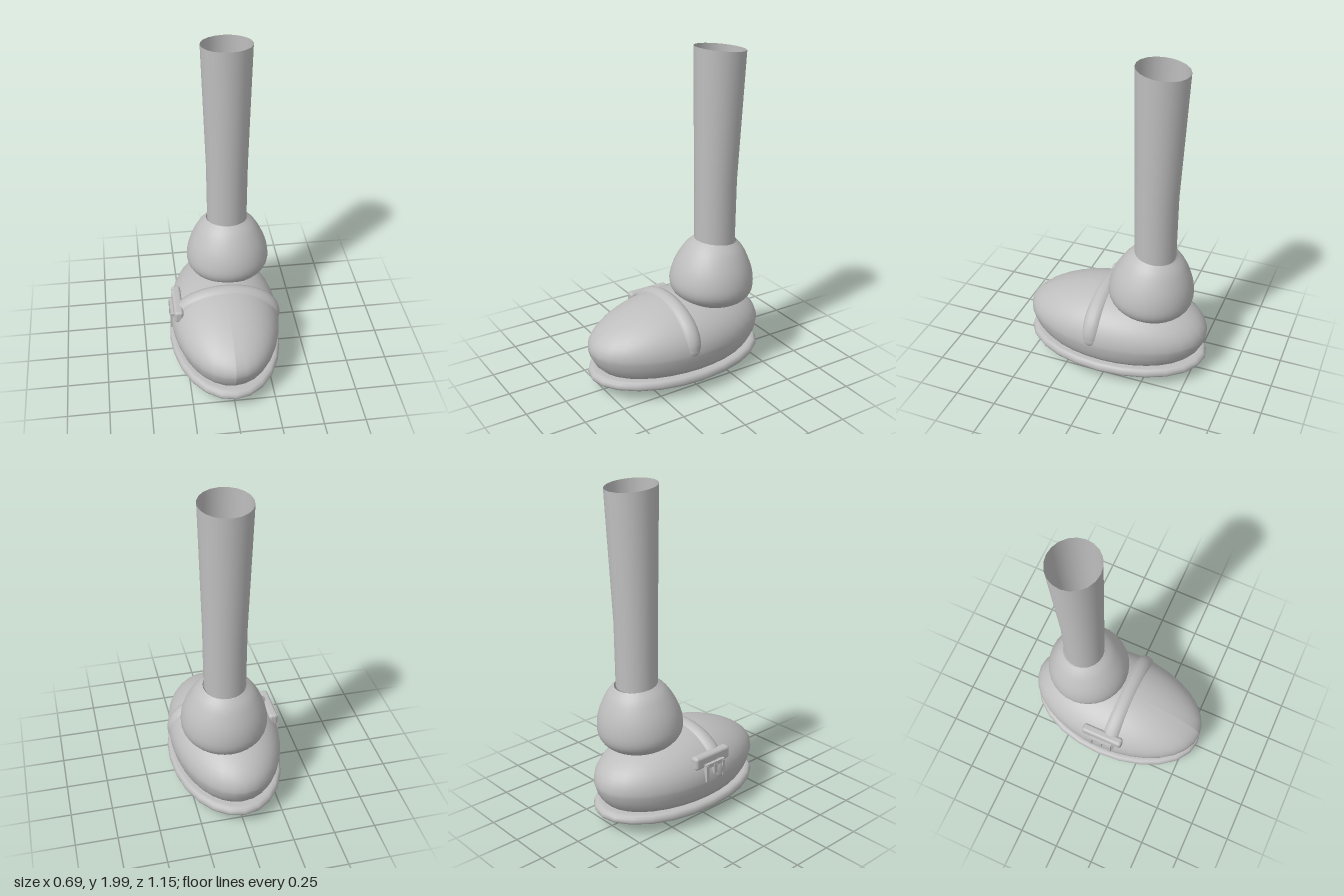
import * as THREE from 'three';
import { RoundedBoxGeometry } from 'three/addons/geometries/RoundedBoxGeometry.js';

const gray = new THREE.MeshStandardMaterial({ color: 0xbebebe, side: THREE.DoubleSide });
gray.name = 'plain gray';

const vec = (pts) => pts.map(([x, y]) => new THREE.Vector2(x, y));

function part(parent, name, geometry, x = 0, y = 0, z = 0) {
  const mesh = new THREE.Mesh(geometry, gray);
  mesh.name = name;
  mesh.position.set(x, y, z);
  parent.add(mesh);
  return mesh;
}

// Unit-radius lathe stretched to the oval footprint of the shoe
function ovalLathe(points, halfX, halfZ, segments = 24) {
  const g = new THREE.LatheGeometry(points, segments);
  g.scale(halfX, 1, halfZ);
  return g;
}

function createShoe() {
  const shoe = new THREE.Group();
  shoe.name = 'shoe';

  // Thin oval sole with a rounded lip and a gently bulging underside
  const sole = vec([[0, 0.005], [0.1, 0.01], [0.25, 0.02], [0.35, 0.026], [0.6, 0.036], [0.82, 0.053],
    [0.93, 0.07], [0.985, 0.085], [1, 0.1], [0.99, 0.118], [0.965, 0.13], [0.92, 0.135], [0, 0.135]]);
  part(shoe, 'sole', ovalLathe(sole, 0.345, 0.575));

  // Domed upper, slightly lower towards the toe
  const profile = [[0, 0.13], [0.87, 0.13], [0.93, 0.165], [0.975, 0.21], [0.997, 0.25]];
  for (let i = 0; i <= 14; i++) {
    const a = (i / 14) * Math.PI / 2;
    profile.push([Math.cos(a), 0.27 + 0.245 * Math.sin(a)]);
  }
  const upper = ovalLathe(vec(profile), 0.335, 0.572, 32);
  const p = upper.attributes.position;
  for (let i = 0; i < p.count; i++) {
    const toe = Math.max(0, p.getZ(i) / 0.572);
    const high = Math.max(0, (p.getY(i) - 0.27) / 0.245);
    p.setY(i, p.getY(i) - 0.05 * toe * toe * high);
  }
  upper.computeVertexNormals();
  part(shoe, 'upper', upper);

  // Round strap arching across the instep, its ends sinking into the upper
  const arc = [];
  for (let i = 0; i <= 20; i++) {
    const a = -0.1 + (i / 20) * (Math.PI + 0.2);
    arc.push(new THREE.Vector3(0.283 * Math.cos(a), 0.305 + 0.166 * Math.sin(a), 0));
  }
  const strapPath = new THREE.CatmullRomCurve3(arc);
  part(shoe, 'strap', new THREE.TubeGeometry(strapPath, 40, 0.06, 14), 0, 0, 0.06);
  for (const end of [arc[0], arc[20]]) {
    part(shoe, 'strapEnd', new THREE.SphereGeometry(0.06, 14, 10), end.x, end.y, 0.06);
  }
  return shoe;
}

function createBuckle() {
  const buckle = new THREE.Group();
  buckle.name = 'buckle';
  // Wide bar along the side
  part(buckle, 'buckleBar', new RoundedBoxGeometry(0.056, 0.08, 0.27, 3, 0.018), -0.293, 0.39, 0.015);
  // Small hanging frame with two legs and a central prong
  part(buckle, 'frameTop', new THREE.BoxGeometry(0.035, 0.025, 0.15), -0.322, 0.365, 0.015);
  for (const z of [-0.05, 0.08]) {
    part(buckle, 'frameLeg', new THREE.BoxGeometry(0.03, 0.1, 0.02), -0.328, 0.32, z);
  }
  part(buckle, 'prong', new THREE.BoxGeometry(0.03, 0.06, 0.025), -0.328, 0.335, 0.015);
  return buckle;
}

function createLeg() {
  const leg = new THREE.Group();
  leg.name = 'leg';

  // Bulbous ankle, open at the top and leaning slightly back
  const anklePoints = new THREE.SplineCurve(vec([[0, -0.19], [0.1, -0.178], [0.195, -0.135], [0.24, -0.09],
    [0.255, -0.04], [0.25, 0.02], [0.233, 0.08], [0.205, 0.14], [0.17, 0.195], [0.128, 0.235]])).getPoints(24);
  anklePoints[0].x = 0;
  const ankle = part(leg, 'ankle', new THREE.LatheGeometry(anklePoints, 32), 0.05, 0.6, -0.235);
  ankle.rotation.x = -0.1;

  // Hollow shin: rings of height, centre z and radius, each sloping down to the back
  const rings = [[0.83, -0.2525, 0.1225], [1.22, -0.2525, 0.126], [1.984, -0.27, 0.15]];
  const sides = 20;
  const shin = new THREE.CylinderGeometry(1, 1, 1, sides, rings.length - 1, true);
  const p = shin.attributes.position;
  for (let i = 0; i < p.count; i++) {
    const [y, cz, r] = rings[Math.round((p.getY(i) + 0.5) * (rings.length - 1))];
    const dz = r * p.getZ(i);
    p.setXYZ(i, 0.05 + r * p.getX(i), y + 0.105 * dz, cz + dz);
  }
  part(leg, 'shin', shin);
  return leg;
}

export function createModel() {
  const model = new THREE.Group();
  model.name = 'leg with strapped shoe';
  model.add(createShoe(), createBuckle(), createLeg());
  return model;
}
